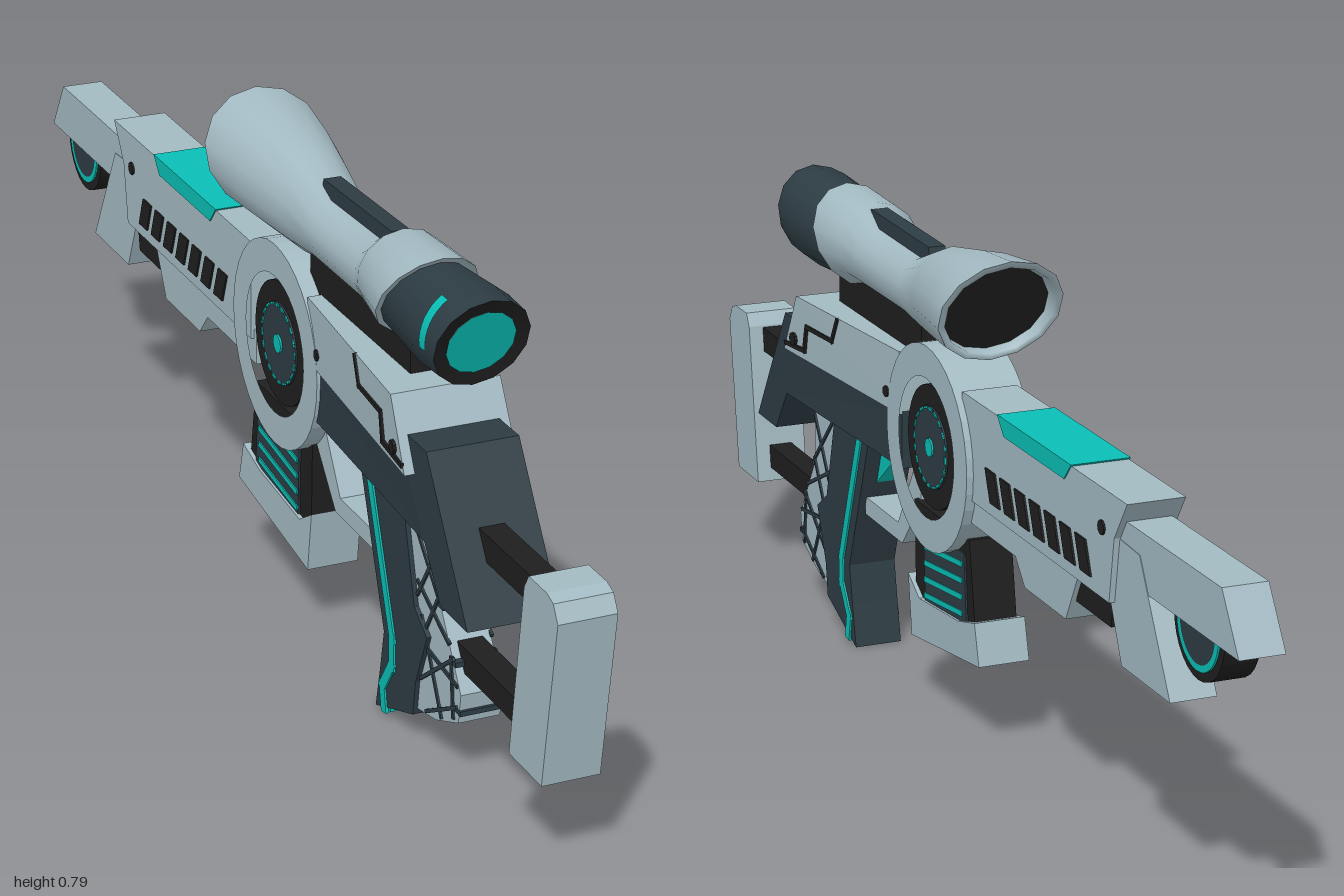
import * as THREE from 'three';

const mat = (name, color) => Object.assign(new THREE.MeshStandardMaterial({ color }), { name });

export function createModel() {
  const root = new THREE.Group();
  root.name = 'rifle';
  const shell = mat('pale blue grey', 0xa3bac2);
  const slate = mat('dark slate', 0x2d3c43);
  const black = mat('charcoal', 0x1f1e1e);
  const teal = mat('teal', 0x0abfb6);

  const add = (name, geo, material, parent = root) => {
    const m = new THREE.Mesh(geo, material);
    m.name = name;
    parent.add(m);
    return m;
  };
  const widthAt = (hw, z) => (typeof hw === 'function' ? hw(z) : hw);

  // Extrudes a (z, y) outline across x, then maps each side with place(t, z)
  const extrude = (pts, place, hole) => {
    const vec = p => new THREE.Vector2(-p[0], p[1]);
    const shape = new THREE.Shape(pts.map(vec));
    if (hole) shape.holes.push(new THREE.Path(hole.map(vec)));
    const g = new THREE.ExtrudeGeometry(shape, { depth: 1, bevelEnabled: false });
    g.rotateY(Math.PI / 2);
    const p = g.attributes.position;
    for (let i = 0; i < p.count; i++) p.setX(i, place(p.getX(i) > 0.5 ? 1 : 0, p.getZ(i)));
    g.computeVertexNormals();
    return g;
  };
  const prism = (name, pts, hw, material, hole) =>
    add(name, extrude(pts, (t, z) => (t * 2 - 1) * widthAt(hw, z), hole), material);

  // Thin painted plates on both flanks
  const plates = (name, pts, hw, material, hole, lift = 0.003) => {
    for (const s of [1, -1]) {
      const place = (t, z) => s * (widthAt(hw, z) + ((t === 1) === (s === 1) ? lift : -0.002));
      add(name, extrude(pts, place, hole), material);
    }
  };
  const circle = (z, y, r, n = 36) => Array.from({ length: n }, (_, i) => {
    const a = (i / n) * Math.PI * 2;
    return [z + r * Math.cos(a), y + r * Math.sin(a)];
  });
  // Quad outline along a segment
  const bar = ([z0, y0], [z1, y1], w) => {
    const l = Math.hypot(z1 - z0, y1 - y0);
    const dz = ((z1 - z0) / l) * w / 2, dy = ((y1 - y0) / l) * w / 2;
    return [[z0 - dz - dy, y0 - dy + dz], [z0 - dz + dy, y0 - dy - dz],
      [z1 + dz + dy, y1 + dy - dz], [z1 + dz - dy, y1 + dy + dz]];
  };
  const line = (name, pts, w, hw, material) => {
    for (let i = 0; i + 1 < pts.length; i++) plates(name, bar(pts[i], pts[i + 1], w), hw, material);
  };

  // Loft of elliptical sections [z, centreY, rx, ry, shear], running towards -z
  const loft = (name, stations, material, n = 14) => {
    const pos = [], idx = [];
    for (const [z, cy, rx, ry, shear] of stations)
      for (let j = 0; j < n; j++) {
        const a = ((j + 0.5) / n) * Math.PI * 2, dy = ry * Math.sin(a);
        pos.push(rx * Math.cos(a), cy + dy, z + shear * dy);
      }
    for (let i = 0; i + 1 < stations.length; i++)
      for (let j = 0; j < n; j++) {
        const k = (j + 1) % n, a = i * n, b = a + n;
        idx.push(a + j, b + j, a + k, a + k, b + j, b + k);
      }
    const g = new THREE.BufferGeometry();
    g.setAttribute('position', new THREE.Float32BufferAttribute(pos, 3));
    g.setIndex(idx);
    g.computeVertexNormals();
    return add(name, g, material);
  };

  // Shoulder stock and its rods
  prism('buttPlate', [[1, 0.42], [0.985, 0.445], [0.965, 0.452], [0.91, 0.452], [0.897, 0.43], [0.863, 0.157], [0.965, 0.157]], 0.045, shell);
  prism('upperRod', [[0.9, 0.385], [0.9, 0.427], [0.6, 0.427], [0.6, 0.385]], 0.02, black);
  prism('lowerRod', [[0.89, 0.18], [0.89, 0.22], [0.6, 0.22], [0.6, 0.18]], 0.02, black);

  // Receiver, tapering towards the hub
  const taper = (a, b) => z => a + (b - a) * THREE.MathUtils.clamp((z - 0.17) / 0.4, 0, 1);
  const upperW = taper(0.052, 0.088), lowerW = taper(0.048, 0.072);
  prism('lowerReceiver', [[0.78, 0.31], [0.637, 0.525], [0.56, 0.525], [0.56, 0.48], [0.17, 0.48], [0.17, 0.385], [0.635, 0.385], [0.69, 0.31]], lowerW, slate);
  prism('upperReceiver', [[0.6, 0.475], [0.545, 0.578], [0.17, 0.578], [0.17, 0.475]], upperW, shell);
  line('receiverSeam', [[0.59, 0.488], [0.515, 0.492], [0.505, 0.535], [0.41, 0.535], [0.39, 0.574]], 0.007, upperW, black);
  plates('rearBolt', circle(0.557, 0.502, 0.011, 10), upperW, black);
  plates('middleBolt', circle(0.215, 0.502, 0.009, 10), upperW, black);

  // Hub ring with a floating core
  const hz = 0.05, hy = 0.455;
  prism('hubRing', circle(hz, hy, 0.165), 0.056, shell, circle(hz, hy, 0.113));
  prism('hubCore', circle(hz, hy, 0.099), 0.046, black);
  plates('hubFace', circle(hz, hy, 0.066), 0.046, slate);
  plates('hubDot', circle(hz, hy, 0.015, 12), 0.049, teal);
  for (let i = 0; i < 20; i++) {
    const at = a => [hz + 0.063 * Math.cos(a), hy + 0.063 * Math.sin(a)];
    const a = (i / 20) * Math.PI * 2;
    plates('hubDash', bar(at(a), at(a + 0.12), 0.004), 0.048, teal);
  }

  // Fore body, vents and lower rail
  prism('foreBody', [[-0.07, 0.578], [-0.667, 0.578], [-0.625, 0.515], [-0.61, 0.415], [-0.07, 0.415]], 0.045, shell);
  for (let i = 0; i < 7; i++) {
    const z = -0.165 - i * 0.055;
    plates('vent', [[z, 0.485], [z - 0.036, 0.485], [z - 0.056, 0.435], [z - 0.02, 0.435]], 0.045, black);
  }
  plates('foreBolt', circle(-0.585, 0.52, 0.011, 10), 0.045, black);
  plates('hubBolt', circle(-0.085, 0.515, 0.009, 10), 0.045, black);
  prism('topPanel', [[-0.21, 0.581], [-0.48, 0.581], [-0.455, 0.553], [-0.235, 0.553]], 0.047, teal);
  prism('lowerRail', [[-0.06, 0.43], [-0.5, 0.43], [-0.45, 0.337], [-0.3, 0.337], [-0.265, 0.375], [-0.06, 0.375]], 0.04, shell);
  prism('railEnd', [[-0.48, 0.43], [-0.6, 0.43], [-0.59, 0.37], [-0.47, 0.37]], 0.032, black);

  // Muzzle block, barrel and barrel wheel
  prism('muzzleBlock', [[-0.6, 0.515], [-0.69, 0.51], [-0.795, 0.328], [-0.635, 0.328], [-0.592, 0.42]], 0.036, shell);
  prism('barrel', [[-0.6, 0.545], [-0.945, 0.545], [-1, 0.46], [-0.6, 0.46]], 0.035, shell);
  prism('barrelWheel', circle(-0.863, 0.464, 0.079, 28), 0.027, black);
  plates('wheelArc', circle(-0.863, 0.464, 0.065, 28), 0.027, teal, circle(-0.863, 0.464, 0.055, 28));
  plates('wheelFace', circle(-0.863, 0.464, 0.055, 28), 0.027, slate);

  // Pistol grip with a crosshatched back
  prism('gripBack', [[0.6, 0.39], [0.48, 0.39], [0.53, 0.22], [0.5, 0.055], [0.6, 0.075], [0.675, 0.107], [0.682, 0.155], [0.61, 0.265]], 0.033, shell);
  const hatch = [[[0.6, 0.35], [0.535, 0.25]], [[0.605, 0.275], [0.56, 0.2]], [[0.655, 0.2], [0.55, 0.12]], [[0.67, 0.13], [0.57, 0.075]],
    [[0.51, 0.37], [0.6, 0.28]], [[0.535, 0.27], [0.64, 0.22]], [[0.55, 0.18], [0.67, 0.165]], [[0.55, 0.22], [0.62, 0.09]], [[0.65, 0.2], [0.66, 0.11]]];
  for (const seg of hatch) line('gripHatch', seg, 0.006, 0.033, slate);
  for (const [z, y] of [[0.61, 0.265], [0.655, 0.195], [0.673, 0.125]])
    add('gripGroove', new THREE.BoxGeometry(0.068, 0.008, 0.02), slate).position.set(0, y, z);
  const gripW = z => 0.04;
  prism('grip', [[0.49, 0.39], [0.335, 0.39], [0.43, 0.14], [0.418, 0.075], [0.403, 0.004], [0.535, 0.053], [0.543, 0.11], [0.58, 0.2], [0.535, 0.23]], gripW, slate);
  line('gripStripe', [[0.372, 0.385], [0.463, 0.145], [0.463, 0.1], [0.43, 0.05], [0.436, 0.018]], 0.018, gripW, teal);
  add('gripStripeEnd', new THREE.BoxGeometry(0.07, 0.006, 0.018), teal).position.set(0, 0.014, 0.436);

  // Trigger and guard
  prism('trigger', [[0.35, 0.39], [0.28, 0.39], [0.29, 0.36], [0.375, 0.295]], 0.014, teal);
  prism('triggerGuard', [[0.385, 0.242], [0.222, 0.242], [0.14, 0.335], [0.14, 0.375], [0.175, 0.375], [0.24, 0.272], [0.385, 0.272]], 0.028, shell);

  // Magazine
  prism('magazine', [[0.15, 0.34], [-0.075, 0.34], [-0.1, 0.19], [0.145, 0.16]], 0.035, black);
  plates('magazinePanel', [[0.105, 0.3], [-0.06, 0.315], [-0.07, 0.2], [0.1, 0.18]], 0.035, slate);
  for (let i = 0; i < 4; i++) {
    const y = 0.285 - i * 0.027;
    line('magazineStripe', [[0.095, y - 0.008], [-0.05, y + 0.01]], 0.009, 0.037, teal);
  }
  prism('magazineBase', [[0.162, 0.213], [0.115, 0.185], [-0.045, 0.2], [-0.112, 0.218], [-0.13, 0.152], [0.148, 0.113]], 0.042, shell);

  // Scope mount and top rail
  prism('scopeMount', [[0.49, 0.57], [0.49, 0.63], [0.45, 0.65], [0.13, 0.65], [0.13, 0.57]], 0.03, black);
  prism('scopeRail', [[0.385, 0.7], [0.385, 0.755], [0.14, 0.75], [0.13, 0.7]], 0.014, slate);

  // Scope body with slanted ends
  loft('scopeTube', [[0.478, 0.69, 0.077, 0.075, 0.7], [0.39, 0.695, 0.07, 0.067, 0.1], [0.35, 0.68, 0.058, 0.053, 0],
    [0.17, 0.677, 0.055, 0.052, 0], [0.09, 0.69, 0.064, 0.075, -0.15], [-0.02, 0.703, 0.085, 0.085, -0.3], [-0.114, 0.71, 0.101, 0.087, -0.48]], shell);
  loft('scopeTubeRim', [[0.474, 0.69, 0.06, 0.06, 0.7], [0.478, 0.69, 0.077, 0.075, 0.7]], shell);
  loft('objectiveRim', [[-0.114, 0.71, 0.101, 0.087, -0.48], [-0.114, 0.71, 0.09, 0.076, -0.48], [-0.085, 0.71, 0.086, 0.072, -0.48]], shell);
  loft('objectiveLens', [[-0.09, 0.71, 0.088, 0.074, -0.48], [-0.09, 0.71, 0, 0, -0.48]], black);

  // Eyepiece
  loft('eyepiece', [[0.66, 0.687, 0.073, 0.074, 0.38], [0.6, 0.687, 0.076, 0.076, 0.38], [0.46, 0.688, 0.066, 0.066, 0.6]], slate);
  loft('eyepieceRim', [[0.655, 0.687, 0.052, 0.052, 0.38], [0.66, 0.687, 0.073, 0.074, 0.38]], black);
  loft('eyepieceLens', [[0.657, 0.687, 0, 0, 0.38], [0.657, 0.687, 0.053, 0.053, 0.38]], teal);
  const arc = new THREE.CylinderGeometry(0.078, 0.078, 0.02, 8, 1, true, Math.PI * 1.12, Math.PI * 0.34);
  arc.rotateX(Math.PI / 2);
  const mark = add('eyepieceMark', arc, teal.clone());
  mark.material = teal;
  // Turn the arc onto the upper right flank
  arc.computeBoundingBox();
  const c = arc.boundingBox.getCenter(new THREE.Vector3());
  mark.rotation.z = Math.PI * 0.86 - Math.atan2(c.y, c.x);
  mark.position.set(0, 0.687, 0.63);

  return root;
}
